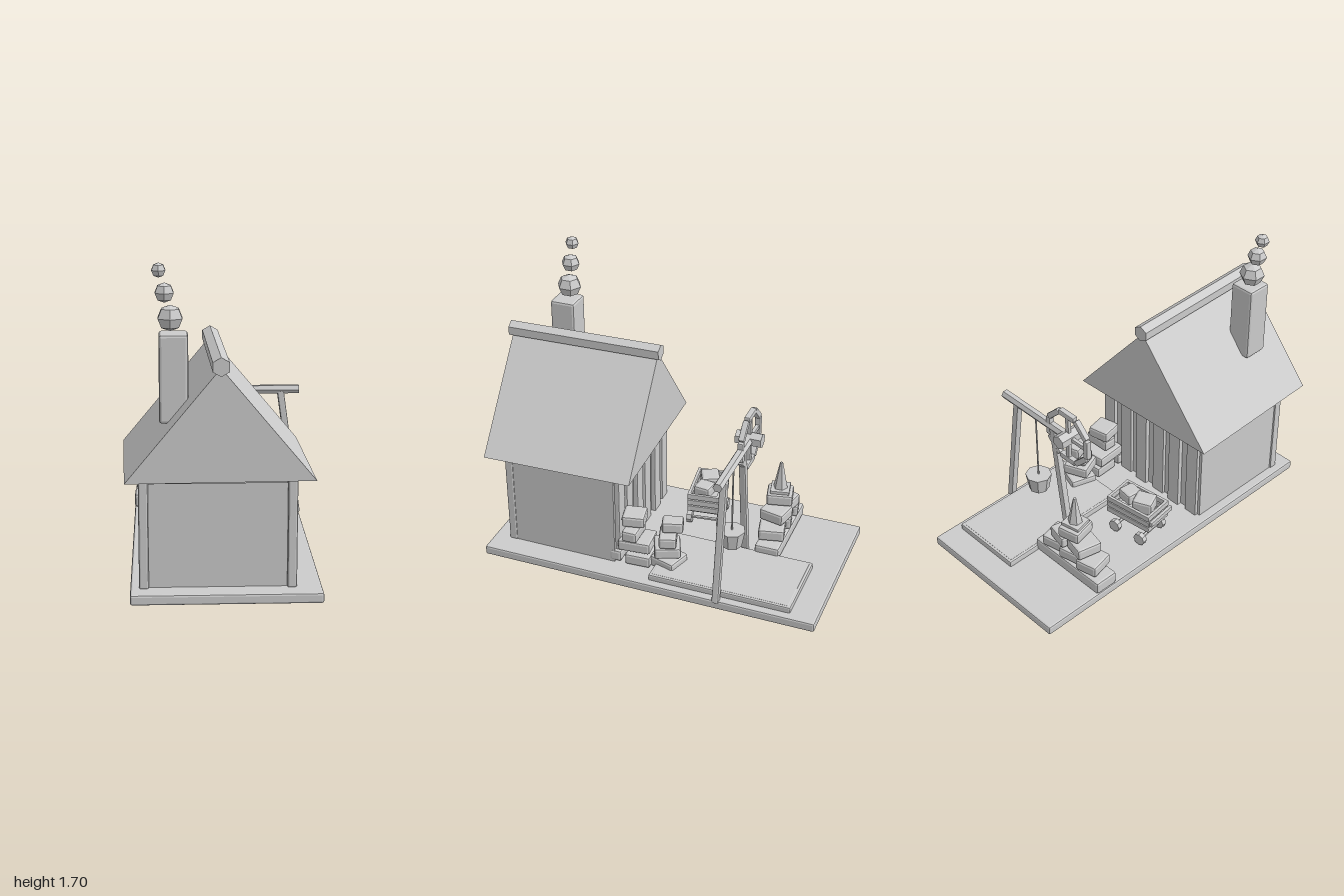
import * as THREE from 'three';
import { RoundedBoxGeometry } from 'three/addons/geometries/RoundedBoxGeometry.js';

export function createModel() {
  const model = new THREE.Group();
  model.name = 'cottageYard';
  const clay = new THREE.MeshStandardMaterial({ color: 0xcccccc, flatShading: true });
  clay.name = 'plain grey';

  function add(name, geometry, x, y, z, parent = model) {
    const mesh = new THREE.Mesh(geometry, clay);
    mesh.name = name;
    mesh.position.set(x, y, z);
    parent.add(mesh);
    return mesh;
  }
  // Chamfered block, turned about the vertical by yaw
  function block(name, w, h, d, x, y, z, yaw = 0, parent = model) {
    const bevel = Math.min(0.014, Math.min(w, h, d) * 0.2);
    const mesh = add(name, new RoundedBoxGeometry(w, h, d, 1, bevel), x, y, z, parent);
    mesh.rotation.y = yaw;
    return mesh;
  }
  // Round or tapered bar between two points
  function bar(name, a, b, r, sides, parent = model) {
    const from = new THREE.Vector3(...a), to = new THREE.Vector3(...b);
    const dir = to.clone().sub(from);
    const mesh = add(name, new THREE.CylinderGeometry(r, r, dir.length(), sides), 0, 0, 0, parent);
    mesh.position.copy(from).add(to).multiplyScalar(0.5);
    mesh.quaternion.setFromUnitVectors(new THREE.Vector3(0, 1, 0), dir.normalize());
    return mesh;
  }
  function group(name, x, y, z, yaw = 0) {
    const g = new THREE.Group();
    g.name = name;
    g.position.set(x, y, z);
    g.rotation.y = yaw;
    model.add(g);
    return g;
  }

  // Ground slab and raised yard bed
  block('groundSlab', 0.98, 0.055, 1.98, 0.015, 0.0275, -0.01);
  block('yardBed', 0.44, 0.04, 0.83, 0.24, 0.07, -0.435);
  block('yardBedTop', 0.41, 0.02, 0.8, 0.24, 0.082, -0.435);

  // House body with corner posts, lintel and back planks
  add('houseBody', new THREE.BoxGeometry(0.79, 0.6, 0.645), -0.025, 0.35, 0.5425);
  for (const x of [-0.405, 0.35]) block('cornerPost', 0.05, 0.6, 0.05, x, 0.35, 0.86);
  add('lintel', new THREE.BoxGeometry(0.7, 0.04, 0.015), -0.028, 0.625, 0.868);
  for (let i = 0; i < 6; i++) {
    block('backPlank', 0.085, 0.54, 0.03, -0.36 + i * 0.134, 0.32, 0.215 - (i % 2) * 0.008);
  }

  // Roof prism with ridge beam, slightly askew
  const roof = group('roof', -0.03, 0, 0.545, 0.028);
  const gable = new THREE.Shape([
    new THREE.Vector2(-0.478, 0.64), new THREE.Vector2(0.478, 0.64), new THREE.Vector2(0, 1.215),
  ]);
  add('roofPrism', new THREE.ExtrudeGeometry(gable, { depth: 0.87, bevelEnabled: false }), 0, 0, -0.435, roof);
  bar('ridgeBeam', [0, 1.223, -0.45], [0, 1.223, 0.45], 0.048, 6, roof);

  // Chimney and smoke puffs
  block('chimney', 0.147, 0.45, 0.147, -0.247, 1.125, 0.75);
  for (const [x, y, r] of [[-0.262, 1.423, 0.071], [-0.29, 1.55, 0.054], [-0.318, 1.662, 0.04]]) {
    const puff = add('smokePuff', new THREE.SphereGeometry(r, 6, 4), x, y, 0.74);
    puff.rotation.y = Math.PI / 2;
    puff.scale.y = 0.93;
  }

  // Hoist frame with crossbeam, rope and bucket
  const hz = -0.435;
  bar('crossbeam', [-0.03, 0.795, hz], [0.5, 0.795, hz], 0.027, 6);
  for (const s of [-1, 1]) {
    const foot = new THREE.Vector2(0.24 + s * 0.255, 0.04), head = new THREE.Vector2(0.24 + s * 0.15, 0.79);
    const mid = foot.clone().add(head).multiplyScalar(0.5);
    const leg = block('frameLeg', 0.04, foot.distanceTo(head), 0.04, mid.x, mid.y, hz);
    leg.rotation.z = Math.atan2(foot.x - head.x, head.y - foot.y);
  }
  bar('rope', [0.24, 0.34, hz], [0.24, 0.79, hz], 0.005, 6);
  add('bucket', new THREE.CylinderGeometry(0.076, 0.058, 0.1, 8), 0.24, 0.31, hz);

  // Eight-sided wheel on its hub
  const wheel = group('wheel', -0.03, 0.795, hz);
  for (let i = 0; i < 8; i++) {
    const a = i * Math.PI / 4;
    const rim = block('rimSegment', 0.12, 0.034, 0.034, Math.sin(a) * 0.15, Math.cos(a) * 0.15, 0, 0, wheel);
    rim.rotation.z = -a;
  }
  block('spoke', 0.3, 0.026, 0.022, 0, 0, 0, 0, wheel);
  block('spoke', 0.026, 0.3, 0.022, 0, 0, 0, 0, wheel);
  bar('hub', [0, 0, -0.075], [0, 0, 0.075], 0.043, 6, wheel);

  // Back brick pile with a cone on top
  block('pileBase', 0.51, 0.078, 0.145, -0.22, 0.095, -0.575);
  for (let row = 1; row < 4; row++) {
    const count = 4 - row, yaw = row % 2 ? 0.22 : -0.22;
    for (let i = 0; i < count; i++) {
      block('pileBrick', 0.135, 0.07, 0.15, -0.22 + (i - (count - 1) / 2) * 0.137, 0.1 + row * 0.078, -0.57, yaw);
    }
  }
  block('coneFoot', 0.115, 0.02, 0.11, -0.22, 0.382, -0.57, 0.2);
  add('cone', new THREE.CylinderGeometry(0.009, 0.042, 0.165, 6), -0.22, 0.473, -0.57);

  // Small cart with slatted sides and a load of stones
  const cart = group('cart', -0.25, 0, -0.12, 0.13);
  block('cartFloor', 0.27, 0.02, 0.16, 0, 0.175, 0, 0, cart);
  for (const y of [0.195, 0.235, 0.275]) {
    for (const s of [-1, 1]) {
      block('sideSlat', 0.3, 0.034, 0.018, 0, y, s * 0.085, 0, cart);
      block('endSlat', 0.018, 0.034, 0.18, s * 0.14, y, 0, 0, cart);
    }
  }
  for (const x of [-0.09, 0.09]) {
    bar('axle', [x, 0.1, -0.09], [x, 0.1, 0.09], 0.01, 6, cart);
    for (const s of [-1, 1]) bar('cartWheel', [x, 0.1, s * 0.075], [x, 0.1, s * 0.105], 0.037, 8, cart);
  }
  block('cartHandle', 0.02, 0.03, 0.19, -0.165, 0.25, 0, 0, cart);
  block('stone', 0.12, 0.08, 0.11, -0.05, 0.285, 0, 0.3, cart);
  block('stone', 0.1, 0.07, 0.1, 0.06, 0.285, 0.01, -0.25, cart);

  // Brick stack behind the house: w, d, x, y, z, yaw
  const stack = [
    [0.15, 0.07, 0.3, 0.1, 0.215, 0], [0.15, 0.15, 0.3, 0.095, 0.085, 0.05], [0.15, 0.16, 0.29, 0.095, -0.08, -0.3],
    [0.16, 0.19, 0.29, 0.18, 0.11, 0.08], [0.15, 0.15, 0.29, 0.18, -0.07, 0.4],
    [0.16, 0.09, 0.31, 0.257, 0.125, 0], [0.15, 0.1, 0.3, 0.257, -0.08, 0.3],
    [0.13, 0.13, 0.29, 0.337, 0.125, 0.2], [0.09, 0.12, 0.28, 0.335, -0.1, 0.3],
  ];
  for (const [w, d, x, y, z, yaw] of stack) block('stackBrick', w, 0.068, d, x, y, z, yaw);

  return model;
}
